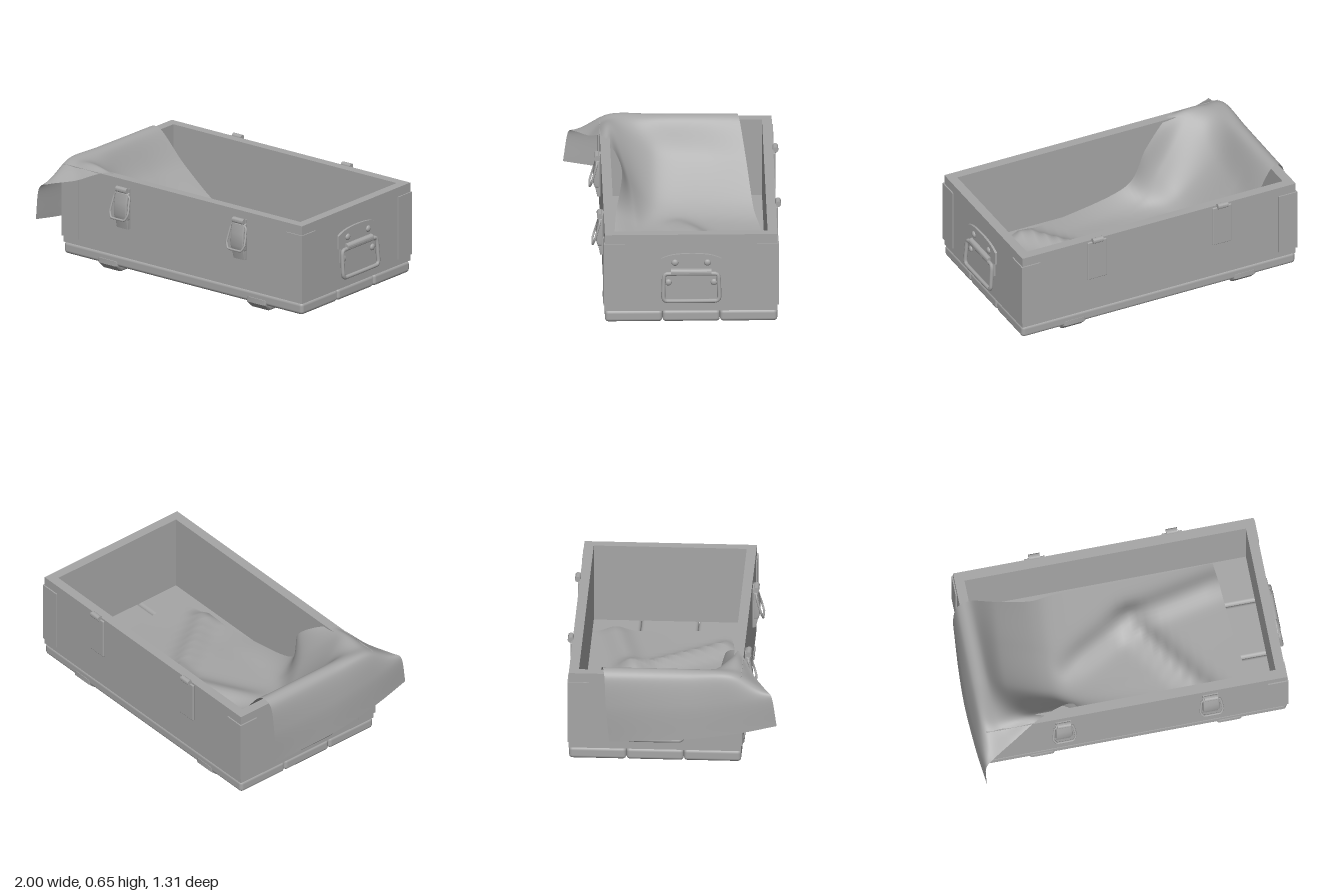
import * as THREE from 'three';
import { toCreasedNormals } from 'three/addons/utils/BufferGeometryUtils.js';
import { RoundedBoxGeometry } from 'three/addons/geometries/RoundedBoxGeometry.js';

const grey = new THREE.MeshStandardMaterial({ color: 0xa6a6a6, side: THREE.DoubleSide });
grey.name = 'plain grey';

const X0 = -0.93, X1 = 0.95, Z0 = -0.63, Z1 = 0.43;

function add(parent, name, geometry, x = 0, y = 0, z = 0) {
  const mesh = new THREE.Mesh(geometry, grey);
  mesh.name = name;
  mesh.position.set(x, y, z);
  parent.add(mesh);
  return mesh;
}

const shapeOf = (pts) => new THREE.Shape(pts.map((p) => new THREE.Vector2(p[0], p[1])));

// Extrudes a (z, y) profile across x, centred on x = 0
function acrossX(pts, width, bevel) {
  const g = new THREE.ExtrudeGeometry(shapeOf(pts), {
    depth: width - 2 * bevel, bevelEnabled: bevel > 0, bevelSize: bevel,
    bevelThickness: bevel, bevelOffset: -bevel, bevelSegments: 3,
  });
  g.rotateY(-Math.PI / 2);
  g.translate(width / 2 - bevel, 0, 0);
  return toCreasedNormals(g, 0.6);
}

// Closed bent wire
function wire(pts, radius) {
  const curve = new THREE.CatmullRomCurve3(pts.map((p) => new THREE.Vector3(...p)), true, 'catmullrom', 0.15);
  return new THREE.TubeGeometry(curve, 80, radius, 8, true);
}

function rod(radius, length) {
  return toCreasedNormals(new THREE.CylinderGeometry(radius, radius, length, 16).rotateZ(Math.PI / 2), 0.6);
}

// Over-centre latch on the front wall
function makeLatch() {
  const g = new THREE.Group();
  g.name = 'latch';
  add(g, 'latchPlate', new THREE.BoxGeometry(0.095, 0.26, 0.012), 0, 0.44, 0.006);
  add(g, 'latchLever', acrossX([[0.005, 0.37], [0.035, 0.37], [0.045, 0.4], [0.042, 0.48],
    [0.03, 0.54], [0.005, 0.55]], 0.1, 0.008));
  add(g, 'latchFoot', acrossX([[0, 0.31], [0.02, 0.31], [0.035, 0.38], [0, 0.38]], 0.09, 0.004));
  add(g, 'latchHook', rod(0.018, 0.085), 0, 0.56, 0.022);
  add(g, 'latchLoop', wire([[-0.048, 0.53, 0.022], [0.048, 0.53, 0.022], [0.06, 0.515, 0.025],
    [0.07, 0.42, 0.053], [0.05, 0.382, 0.066], [-0.05, 0.382, 0.066], [-0.07, 0.42, 0.053],
    [-0.06, 0.515, 0.025]], 0.007));
  return g;
}

// Hinged carrying handle, facing local +z
function makeHandle() {
  const g = new THREE.Group();
  g.name = 'handle';
  const upper = new THREE.Shape();
  upper.moveTo(-0.185, 0.38);
  upper.lineTo(0.185, 0.38);
  upper.lineTo(0.185, 0.465);
  upper.quadraticCurveTo(0.15, 0.485, 0.1, 0.493);
  upper.quadraticCurveTo(0, 0.505, -0.1, 0.493);
  upper.quadraticCurveTo(-0.15, 0.485, -0.185, 0.465);
  const lower = new THREE.Shape();
  lower.moveTo(-0.165, 0.38);
  lower.lineTo(-0.165, 0.285);
  lower.quadraticCurveTo(0, 0.32, 0.165, 0.285);
  lower.lineTo(0.165, 0.38);
  for (const [name, shape] of [['handleUpperPlate', upper], ['handleLowerPlate', lower]])
    add(g, name, new THREE.ExtrudeGeometry(shape, { depth: 0.014, bevelEnabled: false }));
  add(g, 'handleHinge', rod(0.022, 0.25), 0, 0.38, 0.018);
  for (const [x, y] of [[-0.1, 0.44], [0.1, 0.44], [-0.14, 0.31], [0.14, 0.31]]) {
    const rivet = add(g, 'handleRivet', new THREE.SphereGeometry(0.021, 16, 10), x, y, 0.014);
    rivet.scale.z = 0.6;
  }
  add(g, 'handleGrip', wire([[-0.15, 0.37, 0.025], [0.15, 0.37, 0.025], [0.168, 0.345, 0.028],
    [0.172, 0.22, 0.036], [0.15, 0.195, 0.037], [-0.15, 0.195, 0.037], [-0.172, 0.22, 0.036],
    [-0.168, 0.345, 0.028]], 0.013));
  return g;
}

// Height of a cloth fold running along a segment in plan
function fold(x, z, ax, az, bx, bz, height, width) {
  const dx = bx - ax, dz = bz - az;
  const t = THREE.MathUtils.clamp(((x - ax) * dx + (z - az) * dz) / (dx * dx + dz * dz), 0, 1);
  const d = Math.hypot(x - ax - t * dx, z - az - t * dz) / width;
  return height * Math.exp(-d * d);
}

// Cloth draped over the right wall and across the floor: sections run back to front
function clothGeometry() {
  const sections = [
    [[-0.97, 0.18, -0.38], [-0.99, 0.2, -0.15], [-1, 0.22, 0.1], [-0.99, 0.26, 0.4], [-0.97, 0.31, 0.65]],
    [[-0.975, 0.42, -0.4], [-0.985, 0.43, -0.15], [-0.99, 0.44, 0.1], [-0.985, 0.47, 0.38], [-0.97, 0.5, 0.62]],
    [[-0.95, 0.61, -0.41], [-0.95, 0.615, -0.15], [-0.95, 0.62, 0.1], [-0.95, 0.625, 0.37], [-0.92, 0.53, 0.58]],
    [[-0.86, 0.63, -0.43], [-0.86, 0.63, -0.15], [-0.86, 0.63, 0.1], [-0.86, 0.635, 0.38], [-0.78, 0.56, 0.5]],
    [[-0.7, 0.42, -0.47], [-0.73, 0.42, -0.2], [-0.74, 0.45, 0.1], [-0.7, 0.62, 0.34], [-0.58, 0.625, 0.4]],
    [[-0.47, 0.2, -0.51], [-0.49, 0.2, -0.2], [-0.5, 0.22, 0.1], [-0.46, 0.38, 0.25], [-0.37, 0.5, 0.3]],
    [[-0.28, 0.135, -0.55], [-0.3, 0.14, -0.2], [-0.3, 0.14, 0.1], [-0.28, 0.17, 0.22], [-0.26, 0.24, 0.34]],
    [[0.2, 0.135, -0.55], [0.2, 0.14, -0.2], [0.2, 0.135, 0.05], [0.18, 0.13, 0.2], [0.15, 0.135, 0.35]],
    [[0.68, 0.135, -0.56], [0.7, 0.135, -0.3], [0.72, 0.13, -0.05], [0.74, 0.13, 0.15], [0.75, 0.13, 0.28]],
  ];
  const NU = 80, NV = 48;
  const spline = (pts) => new THREE.CatmullRomCurve3(pts, false, 'catmullrom', 0.45);
  const across = sections.map((s) => spline(s.map((p) => new THREE.Vector3(...p))));
  const g = new THREE.PlaneGeometry(1, 1, NU, NV);
  const pos = g.attributes.position;
  for (let j = 0; j <= NV; j++) {
    const along = spline(across.map((c) => c.getPoint(j / NV)));
    for (let i = 0; i <= NU; i++) {
      const p = along.getPoint(i / NU);
      const inside = THREE.MathUtils.smoothstep(p.x, -0.5, -0.2);
      p.y += inside * (fold(p.x, p.z, 0.15, -0.2, 0.48, 0.26, 0.06, 0.06)
        + fold(p.x, p.z, 0.65, -0.42, 0.1, -0.3, 0.045, 0.08)
        + fold(p.x, p.z, 0.1, -0.3, -0.35, -0.05, 0.045, 0.08));
      pos.setXYZ(j * (NU + 1) + i, p.x, p.y, p.z);
    }
  }
  g.computeVertexNormals();
  return g;
}

export function createModel() {
  const model = new THREE.Group();
  model.name = 'openCrate';

  // Walls: one hollow rectangular ring
  const rect = (x0, x1, z0, z1) => [[x0, -z0], [x1, -z0], [x1, -z1], [x0, -z1]];
  const ring = shapeOf(rect(X0, X1, Z0, Z1));
  ring.holes.push(shapeOf(rect(X0 + 0.06, X1 - 0.06, Z0 + 0.06, Z1 - 0.06)));
  const walls = new THREE.ExtrudeGeometry(ring, { depth: 0.505, bevelEnabled: false });
  add(model, 'walls', walls.rotateX(-Math.PI / 2), 0, 0.115, 0);

  // Three floor planks
  for (let i = 0; i < 3; i++)
    add(model, 'floorPlank', new RoundedBoxGeometry(1.88, 0.077, 0.352, 3, 0.022), 0.01, 0.0785, 0.253 - i * 0.353);

  // Two chamfered runners beneath
  for (const x of [-0.58, 0.59])
    add(model, 'runner', acrossX([[0.435, 0.075], [0.435, 0.042], [0.39, 0], [-0.585, 0],
      [-0.632, 0.042], [-0.632, 0.075]], 0.16, 0.018), x);

  // Thin corner plates wrapping each upright edge
  const t = 0.008;
  for (const [x, sx] of [[X0, -1], [X1, 1]]) {
    for (const [z, sz] of [[Z0, -1], [Z1, 1]]) {
      add(model, 'cornerPlate', new THREE.BoxGeometry(0.12 + t, 0.405, t), x - sx * (0.06 - t / 2), 0.358, z + sz * t / 2);
      add(model, 'cornerPlate', new THREE.BoxGeometry(t, 0.405, 0.125), x + sx * t / 2, 0.358, z - sz * 0.0625);
    }
  }

  // Front latches
  for (const x of [-0.45, 0.47]) {
    const latch = makeLatch();
    latch.position.set(x, 0, Z1);
    model.add(latch);
  }

  // Back hinges
  for (const x of [-0.42, 0.44]) {
    add(model, 'hingePlate', new RoundedBoxGeometry(0.13, 0.27, 0.014, 2, 0.006), x, 0.475, Z0 - 0.005);
    add(model, 'hingeKnuckle', rod(0.018, 0.07), x, 0.618, Z0 - 0.013);
  }

  // Handles on both ends
  for (const [x, s] of [[X1, 1], [X0, -1]]) {
    const handle = makeHandle();
    handle.position.set(x, 0, -0.1);
    handle.rotation.y = s * Math.PI / 2;
    model.add(handle);
  }

  add(model, 'drapedCloth', clothGeometry());
  return model;
}
